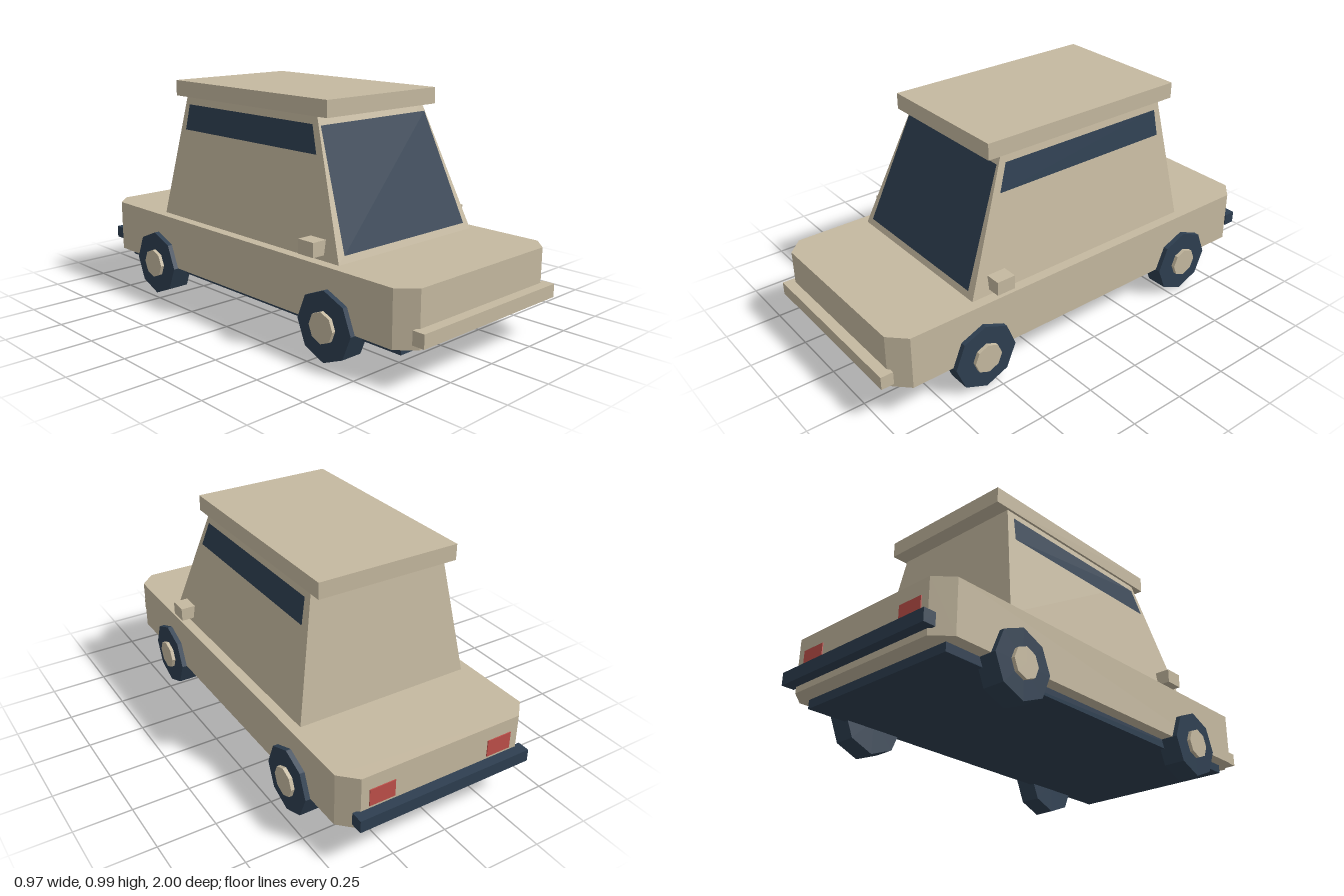
import * as THREE from 'three';

const paint = (name, color, side = THREE.FrontSide) => {
  const m = new THREE.MeshStandardMaterial({ color, side });
  m.name = name;
  return m;
};

export function createModel() {
  const car = new THREE.Group();
  car.name = 'car';
  const beige = paint('beige', 0xc5b9a0);
  const navy = paint('navy', 0x2e3f51, THREE.DoubleSide);
  const red = paint('red', 0xc0504a);

  const add = (name, geometry, material) => {
    const mesh = new THREE.Mesh(geometry, material);
    mesh.name = name;
    car.add(mesh);
    return mesh;
  };

  // Box given by its limits on each axis
  const block = (name, material, [x0, x1], [y0, y1], [z0, z1]) =>
    add(name, new THREE.BoxGeometry(x1 - x0, y1 - y0, z1 - z0), material)
      .position.set((x0 + x1) / 2, (y0 + y1) / 2, (z0 + z1) / 2);

  // Flat four-cornered plate
  const quad = (name, material, corners) => {
    const g = new THREE.BufferGeometry();
    g.setAttribute('position', new THREE.Float32BufferAttribute(corners.flat(), 3));
    g.setIndex([0, 1, 2, 0, 2, 3]);
    g.computeVertexNormals();
    return add(name, g, material);
  };

  // Lower body: rectangle with cut corners, extruded upwards
  const W = 0.445, L = 0.955, C = 0.07;
  const plan = new THREE.Shape([
    [W, L - C], [W - C, L], [C - W, L], [-W, L - C],
    [-W, C - L], [C - W, -L], [W - C, -L], [W, C - L],
  ].map(([x, y]) => new THREE.Vector2(x, y)));
  const body = new THREE.ExtrudeGeometry(plan, { depth: 0.231, bevelEnabled: false });
  body.rotateX(-Math.PI / 2).translate(0, 0.147, 0);
  add('body', body, beige);
  block('underbody', navy, [-0.39, 0.39], [0.109, 0.15], [-0.88, 0.88]);

  // Tapered cabin
  const y0 = 0.378, y1 = 0.92;
  const sideX = (y) => 0.4 - 0.168 * (y - y0);
  const frontZ = (y) => 0.57 - 0.4 * (y - y0);
  const rearZ = (y) => -0.57 + 0.13 * (y - y0);
  const cabin = new THREE.BoxGeometry(1, 1, 1);
  const p = cabin.attributes.position;
  for (let i = 0; i < p.count; i++) {
    const y = p.getY(i) > 0 ? y1 : y0;
    p.setXYZ(i, Math.sign(p.getX(i)) * sideX(y), y, p.getZ(i) > 0 ? frontZ(y) : rearZ(y));
  }
  cabin.computeVertexNormals();
  add('cabin', cabin, beige);
  block('roof', beige, [-0.32, 0.32], [0.915, 0.985], [-0.57, 0.42]);

  // Windows lie just off the cabin faces
  const gap = 0.004;
  const [wb, wt] = [0.407, 0.88];
  quad('windscreen', navy, [
    [-0.362, wb, frontZ(wb) + gap], [0.362, wb, frontZ(wb) + gap],
    [0.308, wt, frontZ(wt) + gap], [-0.308, wt, frontZ(wt) + gap],
  ]);
  for (const s of [1, -1]) {
    const side = s > 0 ? 'left' : 'right';
    const point = (y, z) => [s * (sideX(y) + gap), y, z];
    const glass = [point(0.77, 0.38), point(0.77, -0.48), point(0.883, -0.472), point(0.883, 0.338)];
    quad(side + 'Window', navy, s > 0 ? glass : glass.reverse());

    // Mirrors and tail lights
    const span = (a, b) => (s > 0 ? [a, b] : [-b, -a]);
    block(side + 'Mirror', beige, span(0.383, 0.453), [0.4, 0.46], [0.4, 0.485]);
    block(side + 'TailLight', red, span(0.222, 0.338), [0.24, 0.315], [-0.959, -0.952]);

    // Eight-sided wheels with hubcaps
    for (const z of [0.556, -0.571]) {
      const end = side + (z > 0 ? 'Front' : 'Rear');
      const disc = (name, r, x0, x1, material) => {
        const g = new THREE.CylinderGeometry(r, r, x1 - x0, 8).toNonIndexed();
        g.rotateZ(Math.PI / 2);
        g.computeVertexNormals();
        add(name, g, material).position.set(s * (x0 + x1) / 2, 0.146, z);
      };
      disc(end + 'Tyre', 0.146, 0.37, 0.467, navy);
      disc(end + 'Hubcap', 0.065, 0.45, 0.483, beige);
    }
  }

  // Bumpers
  block('frontBumper', beige, [-0.405, 0.405], [0.171, 0.228], [0.945, 1]);
  block('rearBumper', navy, [-0.405, 0.405], [0.174, 0.228], [-1, -0.945]);
  return car;
}
